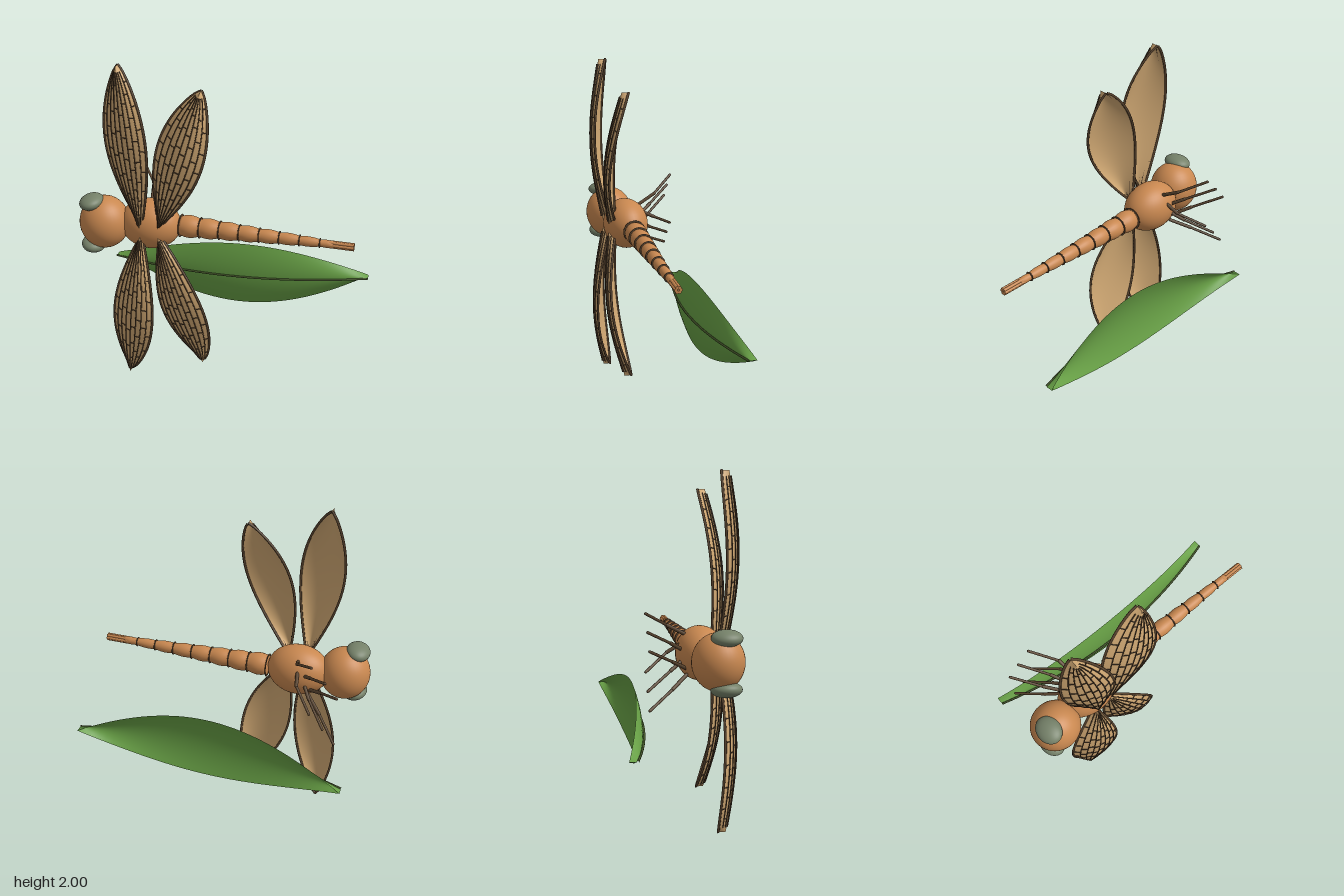
import * as THREE from 'three';
import { mergeGeometries } from 'three/addons/utils/BufferGeometryUtils.js';

const mat = (name, color, side = THREE.FrontSide) => {
  const m = new THREE.MeshStandardMaterial({ color, side });
  m.name = name;
  return m;
};

export function createModel() {
  const bodyMat = mat('copper body', 0xc98850);
  const eyeMat = mat('grey green eye', 0x758169);
  const darkMat = mat('dark brown', 0x59442f);
  const wingMat = mat('tan membrane', 0xd0a873, THREE.DoubleSide);
  const leafMat = mat('leaf green', 0x679f45, THREE.DoubleSide);
  const ribMat = mat('dark green rib', 0x435429);

  const model = new THREE.Group();
  model.name = 'dragonflyAndLeaf';

  const add = (name, geo, material, parent = model) => {
    const mesh = new THREE.Mesh(geo, material);
    mesh.name = name;
    parent.add(mesh);
    return mesh;
  };
  const ellipsoid = (name, material, p, r) => {
    const mesh = add(name, new THREE.SphereGeometry(1, 36, 24), material);
    mesh.position.set(...p);
    mesh.scale.set(...r);
    return mesh;
  };
  const tube = (points, r, n = 24, sides = 6) =>
    new THREE.TubeGeometry(new THREE.CatmullRomCurve3(points), n, r, sides);

  // Cambered blade: at(u, v, lift) runs along u (0..1) and across v (-1..1)
  const blade = ({ from, to, width, peak, power, camber, tilt, depth, flip = 1 }) => {
    const axis = new THREE.Vector2(to[0] - from[0], to[1] - from[1]);
    const side = new THREE.Vector2(axis.y, -axis.x).normalize().multiplyScalar(flip);
    const p = Math.log(0.5) / Math.log(peak);
    return (u, v, lift = 0) => {
      const shape = Math.pow(Math.max(0, Math.sin(Math.PI * Math.pow(u, p))), power);
      const w = width * shape * v;
      return new THREE.Vector3(
        from[0] + axis.x * u + side.x * w,
        from[1] + axis.y * u + side.y * w,
        depth(u) + tilt * shape * v + camber * (1 - v * v) + lift);
    };
  };
  const surface = (at, nu, nv) => {
    const geo = new THREE.PlaneGeometry(1, 1, nu, nv);
    const pos = geo.attributes.position;
    for (let i = 0; i < pos.count; i++) {
      const q = at(pos.getX(i) + 0.5, pos.getY(i) * 2);
      pos.setXYZ(i, q.x, q.y, q.z);
    }
    geo.computeVertexNormals();
    return geo;
  };
  const along = (at, v, a, b, lift = 0, n = 20) =>
    Array.from({ length: n + 1 }, (_, i) => at(a + (b - a) * i / n, v, lift));

  // Head and eyes
  ellipsoid('head', bodyMat, [-0.68, 1, 0.168], [0.147, 0.157, 0.143]);
  for (const s of [1, -1]) {
    const eye = ellipsoid('eye', eyeMat, [-0.742, 1 + s * 0.137, 0.2], [0.07, 0.043, 0.085]);
    eye.rotation.z = s * 0.15;
  }

  // Thorax
  ellipsoid('thorax', bodyMat, [-0.415, 1, 0.12], [0.182, 0.15, 0.135]);

  // Abdomen: swelling segments with a thin dark ring at each joint
  const start = -0.235, step = 0.1165, segments = 7;
  const radius = x => 0.069 - (x - start) * 0.053;
  const profile = [new THREE.Vector2(0, start)];
  for (let i = 0; i < segments; i++) {
    for (let k = 0; k < 8; k++) {
      const x = start + (i + k / 8) * step;
      profile.push(new THREE.Vector2(radius(x) * (0.82 + 0.18 * Math.sin(Math.PI * k / 8)), x));
    }
  }
  profile.push(new THREE.Vector2(0.021, 0.58), new THREE.Vector2(0.023, 0.62),
    new THREE.Vector2(0.02, 0.66), new THREE.Vector2(0, 0.66));
  const abdomen = add('abdomen', new THREE.LatheGeometry(profile, 28), bodyMat);
  abdomen.rotation.z = -Math.PI / 2;
  abdomen.position.set(0, 1, 0.105);
  for (let i = 0; i <= segments; i++) {
    const x = start + i * step;
    const ring = add('abdomenRing', new THREE.TorusGeometry(radius(x) * 0.9, 0.006, 8, 28), darkMat);
    ring.rotation.y = Math.PI / 2;
    ring.scale.z = 0.55;
    ring.position.set(x, 1, 0.105);
  }

  // Tail claspers: a bundle of slim rods
  for (let k = 0; k < 6; k++) {
    const a = k * Math.PI / 3;
    const rod = add('tailClasper', new THREE.CylinderGeometry(0.009, 0.009, 0.14, 8), bodyMat);
    rod.rotation.z = -Math.PI / 2;
    rod.position.set(0.705, 1 + 0.014 * Math.sin(a), 0.105 + 0.014 * Math.cos(a));
  }

  // Wings: membrane, rim, long veins and staggered cross veins on the front
  const wing = (name, base, tip, width, z, s) => {
    const group = new THREE.Group();
    group.name = name;
    model.add(group);
    const at = blade({
      from: [base[0], 1 + s * base[1]], to: [tip[0], 1 + s * tip[1]],
      width, peak: 0.56, power: 0.77, camber: 0.042, tilt: 0.045, flip: s,
      depth: u => z[0] + (z[1] - z[0]) * u + z[2] * Math.sin(Math.PI * u),
    });
    add('wingMembrane', surface(at, 40, 16), wingMat, group);
    const rims = [-1, 1].map(v => tube(along(at, v, 0, 1, 0, 30), 0.0075, 40));
    add('wingRim', mergeGeometries(rims), darkMat, group);
    const veins = [];
    const count = 7, gap = 2 / (count + 1);
    for (let i = 1; i <= count; i++)
      veins.push(tube(along(at, -1 + i * gap, 0.02, 0.97, 0.005), 0.0032, 32, 5));
    for (let i = 0; i <= count; i++) {
      for (let u = 0.2 + (i % 2) * 0.05 + (i % 3) * 0.015; u < 0.93; u += 0.13) {
        const v = -1 + i * gap;
        veins.push(tube([at(u, v, 0.005), at(u, v + gap, 0.005)], 0.003, 1, 5));
      }
    }
    add('wingVeins', mergeGeometries(veins), darkMat, group);
  };
  for (const s of [1, -1]) {
    wing('foreWing', [-0.44, 0.03], [-0.54, 0.992], 0.133, [0.215, 0.205, 0.058], s);
    wing('hindWing', [-0.335, 0.03], [-0.085, 0.872], 0.143, [0.2, 0.165, 0.055], s);
  }

  // Legs: three pairs, each with hip, knee and foot spread about its own height
  const legs = [
    { y: 0.915, hip: [-0.5, 0.03], knee: [-0.59, -0.06], foot: [-0.71, -0.2] },
    { y: 1.003, hip: [-0.465, 0.03], knee: [-0.525, -0.06], foot: [-0.64, -0.2] },
    { y: 1.09, hip: [-0.43, 0.035], knee: [-0.45, -0.07], foot: [-0.56, -0.2] },
  ];
  for (const s of [1, -1]) {
    for (const { y, hip, knee, foot } of legs) {
      const joint = ([x, z], spread) => new THREE.Vector3(x, y + s * spread, z);
      const a = joint(hip, 0.018), b = joint(knee, 0.075), c = joint(foot, 0.157);
      const parts = [tube([a, b], 0.0105, 1, 8), tube([b, c], 0.008, 1, 8)];
      for (const [p, r] of [[a, 0.0105], [b, 0.0105], [c, 0.008]])
        parts.push(new THREE.SphereGeometry(r, 8, 6).translate(p.x, p.y, p.z));
      add('leg', mergeGeometries(parts), darkMat);
    }
  }

  // Leaf with its midrib
  const leafAt = blade({
    from: [-0.787, 0.508], to: [0.823, 0.578], width: 0.206, peak: 0.52, power: 0.92,
    camber: 0.04, tilt: 0, depth: u => -0.2 - 0.12 * (2 * u - 1) ** 2,
  });
  add('leaf', surface(leafAt, 40, 14), leafMat);
  add('leafMidrib', tube(along(leafAt, 0, 0, 1, 0.006), 0.0065, 40), ribMat);

  return model;
}
